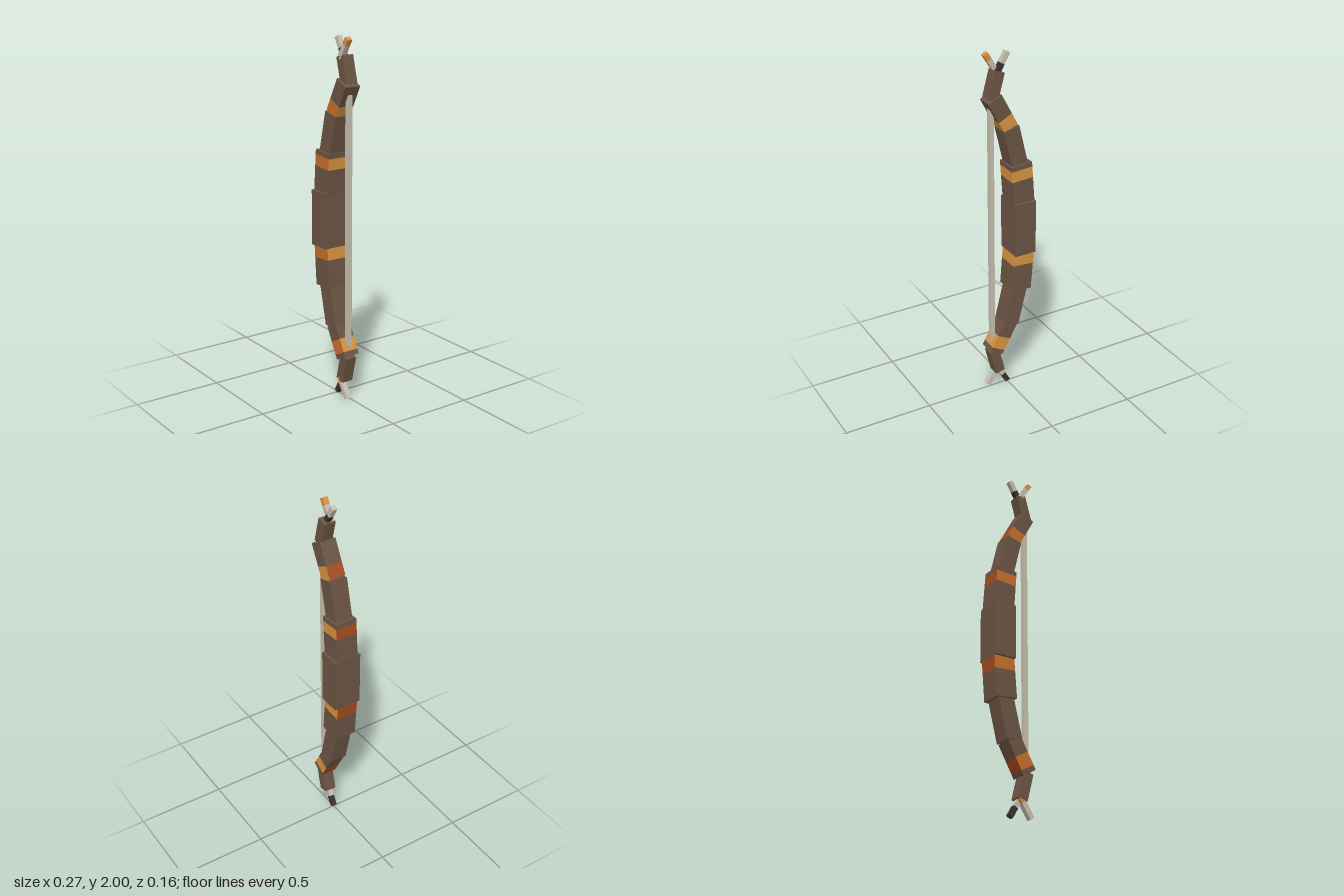
import * as THREE from 'three';

const paint = (name, color) => {
  const m = new THREE.MeshStandardMaterial({ color });
  m.name = name;
  return m;
};

export function createModel() {
  const wood = paint('brown wood', 0x6a5443);
  const orange = paint('orange wrap', 0xc66e2b);
  const amber = paint('amber wrap', 0xd6923f);
  const red = paint('red wrap', 0xa44b20);
  const bone = paint('pale bone', 0xc6beae);
  const dark = paint('dark tip', 0x38302f);
  // box faces: +x, -x, +y, -y, +z, -z
  const wrap = [amber, red, amber, amber, orange, amber];

  const bow = new THREE.Group();
  bow.name = 'bow';

  // Square bar from a to b in the xy plane, cut along its length into
  // pieces [start, end, material]
  function bar(name, a, b, width, depth, pieces, z = 0) {
    const dx = b[0] - a[0], dy = b[1] - a[1];
    const length = Math.hypot(dx, dy);
    const group = new THREE.Group();
    group.name = name;
    group.position.set(a[0], a[1], z);
    group.rotation.z = Math.atan2(-dx, dy);
    pieces.forEach(([s, e, material], i) => {
      const mesh = new THREE.Mesh(new THREE.BoxGeometry(width, (e - s) * length, depth), material);
      mesh.name = `${name}Piece${i + 1}`;
      mesh.position.y = ((s + e) / 2) * length;
      group.add(mesh);
    });
    bow.add(group);
  }

  // Grip and string
  bar('grip', [-0.0725, 0.85], [-0.0725, 1.16], 0.125, 0.158, [[0, 1, wood]]);
  bar('string', [0.096, 0.3], [0.096, 1.7], 0.025, 0.028, [[0, 1, bone]]);

  // Upper limb
  bar('upperInnerLimb', [-0.073, 1.14], [-0.055, 1.38], 0.124, 0.126,
    [[0, 0.63, wood], [0.63, 0.89, wrap], [0.89, 1, wood]]);
  bar('upperMiddleLimb', [-0.055, 1.36], [0, 1.59], 0.093, 0.102, [[0, 1, wood]]);
  bar('upperOuterLimb', [0, 1.59], [0.093, 1.765], 0.085, 0.094,
    [[0, 0.37, wrap], [0.37, 1, wood]]);
  bar('upperTip', [0.097, 1.755], [0.058, 1.899], 0.058, 0.066, [[0, 1, wood]]);

  // Lower limb
  bar('lowerInnerLimb', [-0.073, 0.86], [-0.055, 0.625], 0.124, 0.126,
    [[0, 0.34, wrap], [0.34, 1, wood]].map(([s, e, m]) => [s, e, m]));
  bar('lowerMiddleLimb', [-0.055, 0.64], [0, 0.41], 0.093, 0.102, [[0, 1, wood]]);
  bar('lowerOuterLimb', [0, 0.415], [0.093, 0.245], 0.085, 0.094,
    [[0, 0.47, wood], [0.47, 0.86, wrap], [0.86, 1, wood]]);
  bar('lowerTip', [0.097, 0.25], [0.06, 0.101], 0.058, 0.066, [[0, 1, wood]]);

  // Lower bars run downwards, so turn them half round their length to keep
  // the wrap colours facing the same way as on the upper limb
  const flipped = [red, amber, amber, amber, orange, amber];
  bow.traverse((o) => {
    if (o.isMesh && o.material === wrap && o.parent.name.startsWith('lower')) o.material = flipped;
  });

  // Crossed prongs at both ends
  bar('upperBackProng', [0.062, 1.885], [0, 1.992], 0.028, 0.028,
    [[0, 0.48, dark], [0.48, 1, bone]]);
  bar('upperFrontProng', [0.05, 1.885], [0.117, 1.992], 0.028, 0.03,
    [[0, 0.7, bone], [0.7, 1, amber]], 0.018);
  bar('lowerBackProng', [0.062, 0.115], [0, 0.008], 0.028, 0.028,
    [[0, 0.5, bone], [0.5, 1, dark]]);
  bar('lowerFrontProng', [0.05, 0.115], [0.117, 0.008], 0.028, 0.03,
    [[0, 0.26, amber], [0.26, 1, bone]], 0.018);

  return bow;
}
